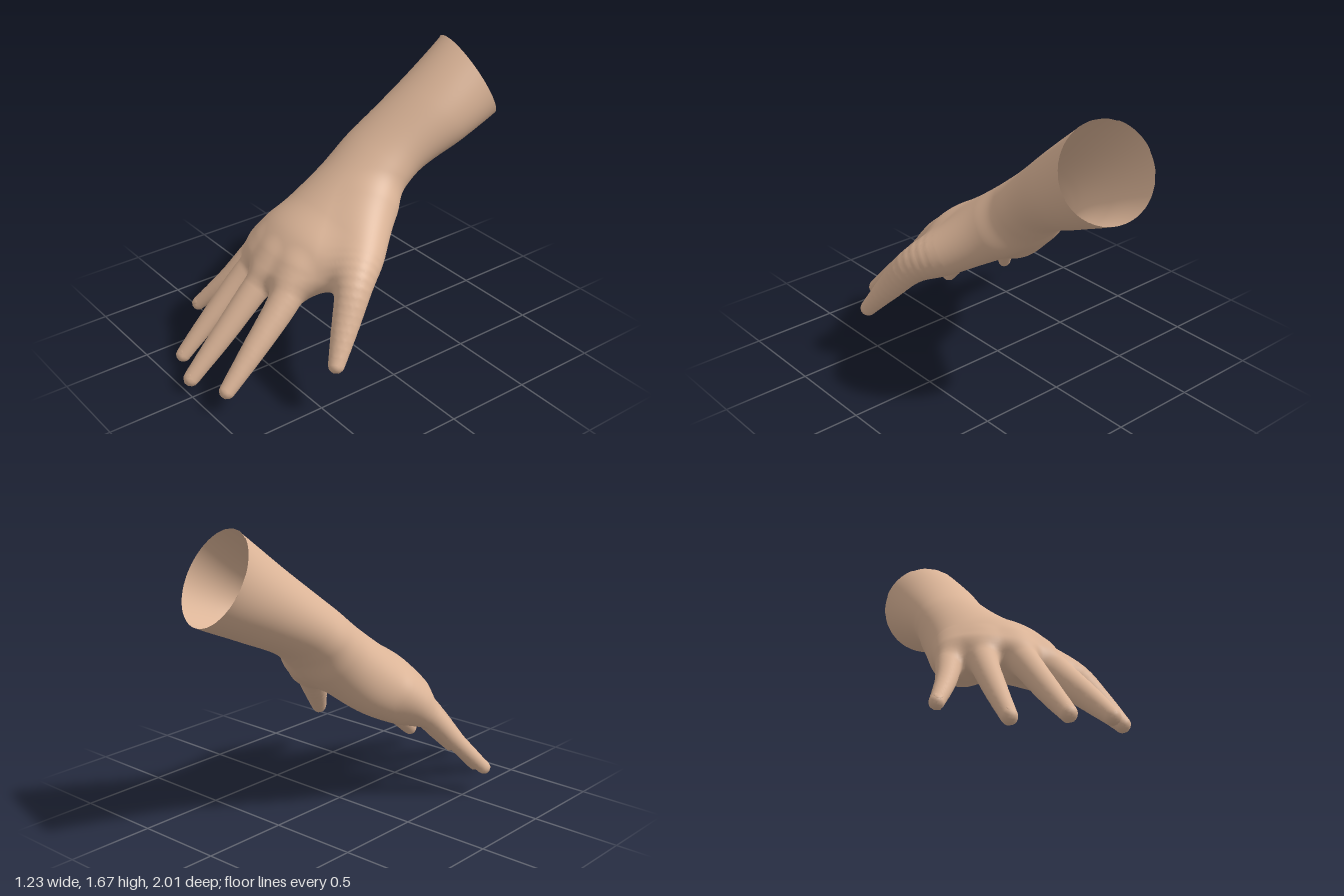
import * as THREE from 'three';

const skin = new THREE.MeshStandardMaterial({ color: 0xdcb598, side: THREE.DoubleSide });
skin.name = 'skin';

// The hand is modelled lying flat (x across, y toward its back, z toward the
// fingertips) and tilted down at the end.
const TILT = 0.6435;

// Forearm and palm sections along z: centre x, half width, centre y, half height
const sectionZ = [-1.75, -1.56, -1.25, -0.95, -0.85, -0.62, -0.4, -0.2, -0.03, 0.1];
const sections = new THREE.CubicInterpolant(sectionZ, [
  0.065, 0.275, 0.618, 0.27,
  0.056, 0.262, 0.622, 0.262,
  0.03, 0.257, 0.645, 0.222,
  -0.02, 0.243, 0.665, 0.185,
  -0.03, 0.25, 0.662, 0.184,
  -0.025, 0.267, 0.65, 0.19,
  -0.02, 0.315, 0.66, 0.185,
  -0.025, 0.37, 0.695, 0.165,
  -0.06, 0.34, 0.7, 0.13,
  -0.06, 0.3, 0.69, 0.1,
], 4);

// Digits: path from inside the palm to the tip, radius at each point, softness of the join
const digits = [
  { name: 'littleFinger', blend: 0.06, r: [0.085, 0.072, 0.055, 0.037],
    path: [[-0.28, 0.634, -0.238], [-0.36, 0.612, -0.084], [-0.455, 0.549, 0.157], [-0.59, 0.476, 0.42]] },
  { name: 'ringFinger', blend: 0.06, r: [0.09, 0.073, 0.058, 0.04],
    path: [[-0.19, 0.694, -0.108], [-0.25, 0.661, 0.098], [-0.295, 0.6, 0.4], [-0.33, 0.539, 0.705]] },
  { name: 'middleFinger', blend: 0.06, r: [0.09, 0.078, 0.064, 0.042],
    path: [[-0.04, 0.738, -0.066], [-0.05, 0.716, 0.138], [-0.06, 0.669, 0.442], [-0.07, 0.624, 0.772]] },
  { name: 'indexFinger', blend: 0.06, r: [0.1, 0.085, 0.066, 0.041],
    path: [[0.12, 0.718, -0.076], [0.16, 0.69, 0.12], [0.19, 0.664, 0.402], [0.215, 0.637, 0.694]] },
  { name: 'thumb', blend: 0.12, r: [0.12, 0.125, 0.1, 0.074, 0.04],
    path: [[0.16, 0.62, -0.6], [0.3, 0.622, -0.38], [0.42, 0.63, -0.2], [0.505, 0.575, 0.0], [0.592, 0.505, 0.222]] },
];

// Fleshy heel of the palm below the little finger
const heelPad = { blend: 0.1, r: [0.12, 0.13, 0.115, 0.08],
  path: [[-0.13, 0.6, -0.68], [-0.19, 0.568, -0.4], [-0.25, 0.588, -0.16], [-0.31, 0.625, 0]] };

// Turn each path into a chain of tapered segments ending one radius short of the tip
const padsAndDigits = [heelPad, ...digits];
for (const d of padsAndDigits) {
  d.curve = new THREE.CatmullRomCurve3(d.path.map((p) => new THREE.Vector3(...p)));
  const radii = new THREE.CatmullRomCurve3(d.r.map((r) => new THREE.Vector3(r, 0, 0)));
  const last = 1 - d.r[d.r.length - 1] / d.curve.getLength();
  d.chain = [];
  for (let i = 0; i <= 20; i++) {
    const u = (i / 20) * last;
    d.chain.push({ p: d.curve.getPointAt(u), r: radii.getPoint(d.curve.getUtoTmapping(u)).x });
  }
}

const smoothMin = (a, b, k) => Math.min(a, b) - (Math.max(k - Math.abs(a - b), 0) ** 2) / (4 * k);
const smoothMax = (a, b, k) => -smoothMin(-a, -b, k);

// Signed distance to the forearm and palm
function bodyDistance(x, y, z) {
  const [cx, hx, cy, hy] = sections.evaluate(z);
  const arch = 0.4 * THREE.MathUtils.smoothstep(z, -0.6, -0.1);
  const px = x - cx, py = y - cy + arch * x * x;
  const k0 = Math.hypot(px / hx, py / hy), k1 = Math.hypot(px / (hx * hx), py / (hy * hy));
  let d = k1 > 1e-6 ? (k0 * (k0 - 1)) / k1 : -Math.min(hx, hy);
  // Curved front edge of the palm, then the hollow of the palm
  d = smoothMax(d, z - 0.08 + 1.3 * (x + 0.02) ** 2, 0.06);
  return smoothMax(d, 0.21 - Math.hypot(x - 0.05, y - 0.36, z + 0.17), 0.1);
}

function chainDistance(chain, x, y, z) {
  let best = Infinity;
  for (let i = 0; i < chain.length - 1; i++) {
    const a = chain[i], b = chain[i + 1];
    const ex = b.p.x - a.p.x, ey = b.p.y - a.p.y, ez = b.p.z - a.p.z;
    const qx = x - a.p.x, qy = y - a.p.y, qz = z - a.p.z;
    const h = Math.min(1, Math.max(0, (qx * ex + qy * ey + qz * ez) / (ex * ex + ey * ey + ez * ez)));
    const dx = qx - ex * h, dy = qy - ey * h, dz = qz - ez * h;
    const d = Math.sqrt(dx * dx + dy * dy + dz * dz) - a.r - (b.r - a.r) * h;
    if (d < best) best = d;
  }
  return best;
}

function distance(x, y, z) {
  let d = bodyDistance(x, y, z);
  for (const f of padsAndDigits) d = smoothMin(d, chainDistance(f.chain, x, y, z), f.blend);
  return d;
}

// One smooth skin over palm, digits and forearm, cut open at the forearm end
function skinGeometry() {
  const cell = 0.016, lo = [-0.68, 0.25, -1.74], hi = [0.7, 0.97, 0.82];
  const n = lo.map((v, i) => Math.ceil((hi[i] - v) / cell) + 1);
  const step = [1, n[0], n[0] * n[1]];
  const at = (i, j, k) => i + j * step[1] + k * step[2];
  const field = new Float32Array(n[0] * n[1] * n[2]);
  const eachCell = (from, fn) => {
    for (let k = from; k < n[2] - 1; k++)
      for (let j = from; j < n[1] - 1; j++)
        for (let i = from; i < n[0] - 1; i++) fn(at(i, j, k), [i, j, k]);
  };
  for (let k = 0; k < n[2]; k++)
    for (let j = 0; j < n[1]; j++)
      for (let i = 0; i < n[0]; i++)
        field[at(i, j, k)] = distance(lo[0] + i * cell, lo[1] + j * cell, lo[2] + k * cell);

  // One vertex per crossed cell, at the mean of its edge crossings
  const vertexOf = new Map(), pos = [], normals = [], beyond = [];
  const cutNormal = new THREE.Vector3(-0.225, 0.13, 0.96).normalize();
  const cut = new THREE.Plane().setFromNormalAndCoplanarPoint(cutNormal, new THREE.Vector3(0.055, 0.622, -1.556));
  eachCell(0, (id, ijk) => {
    const sum = new THREE.Vector3();
    let count = 0;
    for (let c = 0; c < 8; c++) {
      const corner = [c & 1, (c >> 1) & 1, c >> 2];
      const f0 = field[id + at(...corner)];
      for (let a = 0; a < 3; a++) {
        if (corner[a]) continue;
        const f1 = field[id + at(...corner) + step[a]];
        if (f0 < 0 === f1 < 0) continue;
        const p = new THREE.Vector3(...corner);
        p.setComponent(a, f0 / (f0 - f1));
        sum.add(p);
        count++;
      }
    }
    if (!count) return;
    const p = sum.divideScalar(count).add(new THREE.Vector3(...ijk)).multiplyScalar(cell).add(new THREE.Vector3(...lo));
    const e = 0.006;
    const normal = new THREE.Vector3(
      distance(p.x + e, p.y, p.z) - distance(p.x - e, p.y, p.z),
      distance(p.x, p.y + e, p.z) - distance(p.x, p.y - e, p.z),
      distance(p.x, p.y, p.z + e) - distance(p.x, p.y, p.z - e)).normalize();
    const out = cut.distanceToPoint(p) < 0;
    if (out) cut.projectPoint(p.clone(), p);
    vertexOf.set(id, beyond.length);
    beyond.push(out);
    pos.push(...p);
    normals.push(...normal);
  });

  // A quad round every crossed grid edge
  const index = [];
  const triangle = (...t) => { if (!t.every((v) => beyond[v])) index.push(...t); };
  eachCell(1, (id) => {
    for (let a = 0; a < 3; a++) {
      const inside = field[id] < 0;
      if (inside === field[id + step[a]] < 0) continue;
      const b = step[(a + 1) % 3], c = step[(a + 2) % 3];
      const q = [id - b - c, id - c, id, id - b].map((v) => vertexOf.get(v));
      if (!inside) q.reverse();
      triangle(q[0], q[1], q[2]);
      triangle(q[0], q[2], q[3]);
    }
  });
  const g = new THREE.BufferGeometry();
  g.setAttribute('position', new THREE.Float32BufferAttribute(pos, 3));
  g.setAttribute('normal', new THREE.Float32BufferAttribute(normals, 3));
  g.setIndex(index);
  return g;
}

// Nail: thin dome on the back of a fingertip
function nail({ name, curve, r }) {
  const T = curve.getTangentAt(0.93), rad = r[r.length - 1];
  const N = new THREE.Vector3(name === 'thumb' ? 0.3 : 0, 1, 0);
  N.addScaledVector(T, -N.dot(T)).normalize();
  const mesh = new THREE.Mesh(new THREE.SphereGeometry(1, 16, 10), skin);
  mesh.name = name + 'Nail';
  mesh.scale.set(rad * 0.65, rad * 0.25, rad * 0.9);
  mesh.quaternion.setFromRotationMatrix(new THREE.Matrix4().makeBasis(N.clone().cross(T), N, T));
  mesh.position.copy(curve.getPointAt(0.93)).addScaledVector(N, rad * 0.8);
  return mesh;
}

export function createModel() {
  const hand = new THREE.Group();
  hand.name = 'hand';
  const flesh = new THREE.Mesh(skinGeometry(), skin);
  flesh.name = 'palmFingersAndForearm';
  hand.add(flesh, ...digits.map(nail));
  hand.rotation.x = TILT;
  const model = new THREE.Group();
  model.name = 'handModel';
  model.add(hand);
  return model;
}
